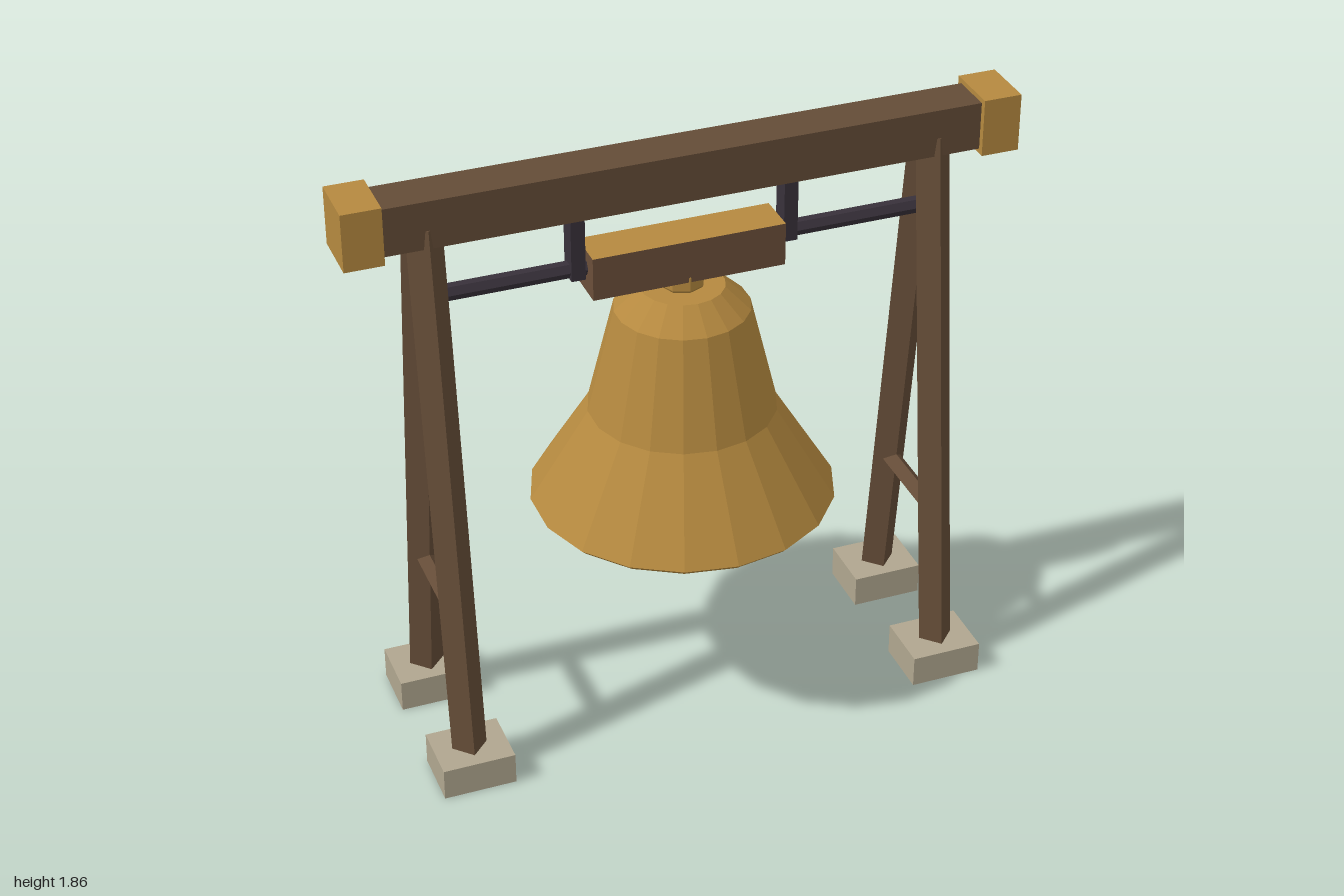
import * as THREE from 'three';

const mat = (name, color) => {
  const m = new THREE.MeshStandardMaterial({ color, flatShading: true });
  m.name = name;
  return m;
};

export function createModel() {
  const bronze = mat('bronze', 0xb5893f);
  const wood = mat('wood', 0x644c37);
  const yokeWood = mat('yokeWood', 0x6b4f39);
  const iron = mat('iron', 0x38313a);
  const stone = mat('stone', 0xb0a68f);
  const inside = mat('bellInside', 0x5f4a3b);

  const model = new THREE.Group();
  model.name = 'bellFrame';

  const add = (name, geometry, material, x = 0, y = 0, z = 0) => {
    const mesh = new THREE.Mesh(geometry, material);
    mesh.name = name;
    mesh.position.set(x, y, z);
    model.add(mesh);
    return mesh;
  };
  const box = (name, w, h, d, material, x, y, z) =>
    add(name, new THREE.BoxGeometry(w, h, d), material, x, y, z);
  // Straight bar between two points
  const bar = (name, a, b, r, sides, material) => {
    const from = new THREE.Vector3(...a), to = new THREE.Vector3(...b);
    const dir = to.clone().sub(from);
    const mesh = add(name, new THREE.CylinderGeometry(r, r, dir.length(), sides), material);
    mesh.position.copy(from).add(to).multiplyScalar(0.5);
    mesh.quaternion.setFromUnitVectors(new THREE.Vector3(0, 1, 0), dir.normalize());
    return mesh;
  };
  const lathe = (name, points, material) =>
    add(name, new THREE.LatheGeometry(points.map(p => new THREE.Vector2(...p)), 18), material);

  // Top beam
  box('beam', 1.8, 0.145, 0.136, wood, 0, 1.772, 0);

  for (const s of [-1, 1]) {
    box('beamCap', 0.115, 0.175, 0.174, bronze, s * 0.9425, 1.772, 0);

    // A-shaped trestle on stone feet
    for (const t of [-1, 1]) {
      bar('leg', [s * 0.757, 0.05, t * 0.226], [s * 0.757, 1.75, t * 0.022], 0.053, 4, wood);
      box('foot', 0.22, 0.1, 0.185, stone, s * 0.755, 0.05, t * 0.2225);
    }
    bar('crossRail', [s * 0.757, 0.537, -0.165], [s * 0.757, 0.537, 0.165], 0.03, 4, wood);

    // Axle and the strap that hangs it from the beam
    bar('axle', [s * 0.27, 1.515, 0], [s * 0.757, 1.515, 0], 0.025, 6, iron);
    box('hanger', 0.042, 0.22, 0.06, iron, s * 0.32, 1.6, 0);
  }

  // Yoke, with a bronze top face
  box('yoke', 0.58, 0.132, 0.13,
    [yokeWood, yokeWood, bronze, yokeWood, yokeWood, yokeWood], 0, 1.504, 0);

  // Bell
  add('crown', new THREE.SphereGeometry(0.07, 8, 5), bronze, 0, 1.43, 0);
  lathe('bell', [[0.44, 0.697], [0.456, 0.713], [0.28, 1.0], [0.2, 1.33], [0.125, 1.4], [0, 1.4]], bronze);
  lathe('bellInside', [[0, 1.36], [0.1, 1.36], [0.175, 1.3], [0.25, 0.99], [0.42, 0.71], [0.44, 0.697]], inside);

  // Clapper
  bar('clapperRod', [0, 0.76, 0], [0, 1.37, 0], 0.014, 6, iron);
  add('clapper', new THREE.SphereGeometry(0.078, 10, 7), iron, 0, 0.756, 0);

  return model;
}
